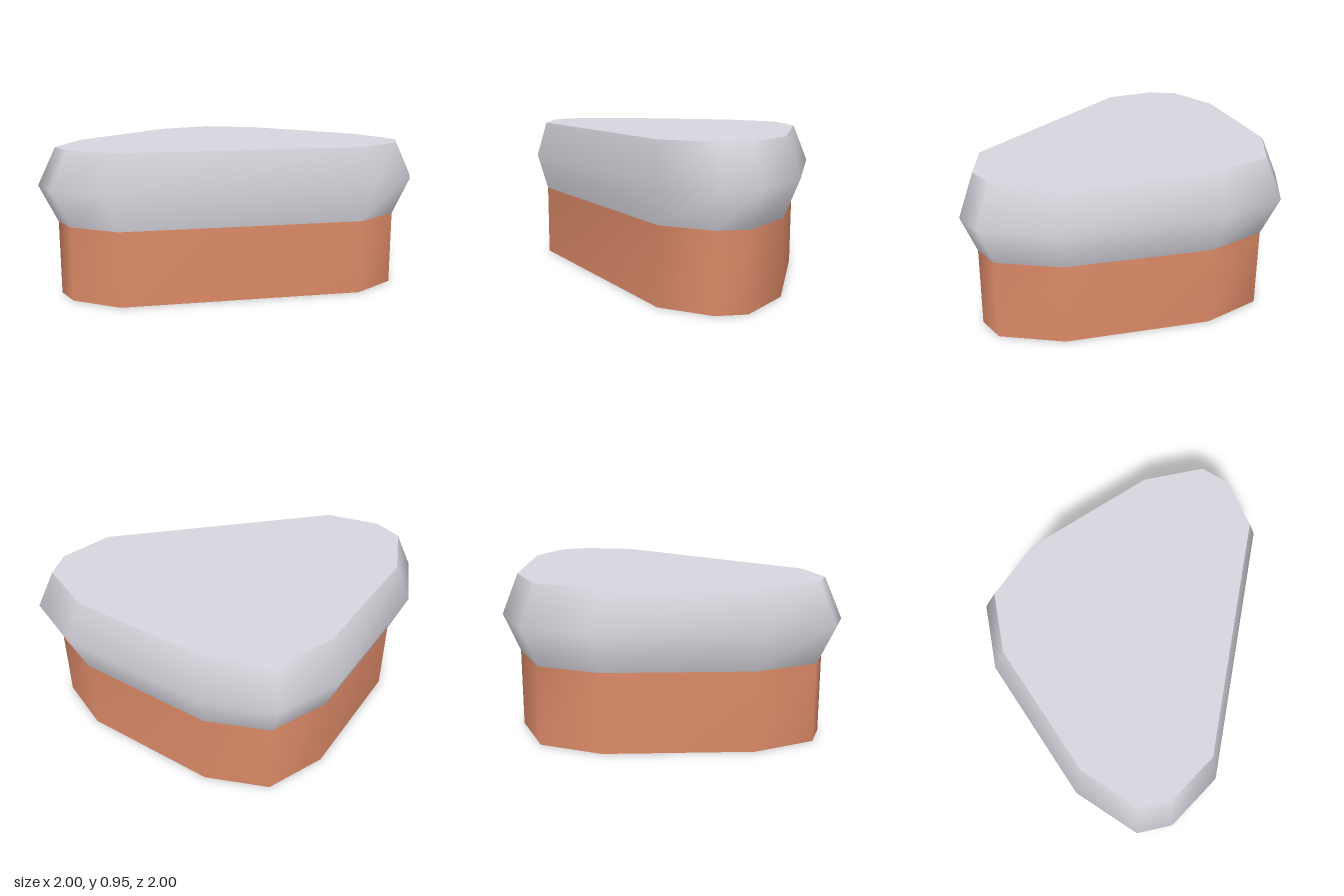
import * as THREE from 'three';

// Half of the outline as [x, z]; the other half swaps x and z.
const half = [[-0.835, -0.835], [-0.435, -1], [0.52, -1], [0.92, -0.835], [1, -0.64], [0.925, -0.27]];
const outline = [...half, ...half.slice(1).reverse().map(([x, z]) => [z, x])];
const INSET = 0.908;

// Smooth wall through rings given as [height, outline scale], bottom to top.
function wall(rings) {
  const n = outline.length, pos = [], idx = [];
  for (const [y, s] of rings) for (const [x, z] of outline) pos.push(x * s, y, z * s);
  for (let r = 0; r < rings.length - 1; r++) {
    for (let i = 0; i < n; i++) {
      const a = r * n + i, b = r * n + (i + 1) % n;
      idx.push(a, a + n, b, b, a + n, b + n);
    }
  }
  const g = new THREE.BufferGeometry();
  g.setAttribute('position', new THREE.Float32BufferAttribute(pos, 3));
  g.setIndex(idx);
  g.computeVertexNormals();
  return g;
}

// Flat lid facing up (dir 1) or down (dir -1).
function cap(y, dir) {
  const shape = new THREE.Shape(outline.map(([x, z]) => new THREE.Vector2(x * INSET, -dir * z * INSET)));
  return new THREE.ShapeGeometry(shape).rotateX(-dir * Math.PI / 2).translate(0, y, 0);
}

export function createModel() {
  const stone = new THREE.MeshStandardMaterial({ name: 'pale stone', color: 0xd8d6de });
  const earth = new THREE.MeshStandardMaterial({ name: 'brown earth', color: 0xdc8a68 });
  const model = new THREE.Group();
  model.name = 'cliffBlock';
  const add = (name, geometry, material) => {
    const mesh = new THREE.Mesh(geometry, material);
    mesh.name = name;
    model.add(mesh);
  };

  // Straight earth base
  add('earthWall', wall([[0, INSET], [0.475, INSET]]), earth);
  add('earthUnderside', cap(0, -1), earth);
  // Bulging stone layer with a flat top
  add('stoneRim', wall([[0.475, INSET], [0.713, 1], [0.95, INSET]]), stone);
  add('stoneTop', cap(0.95, 1), stone);
  return model;
}
